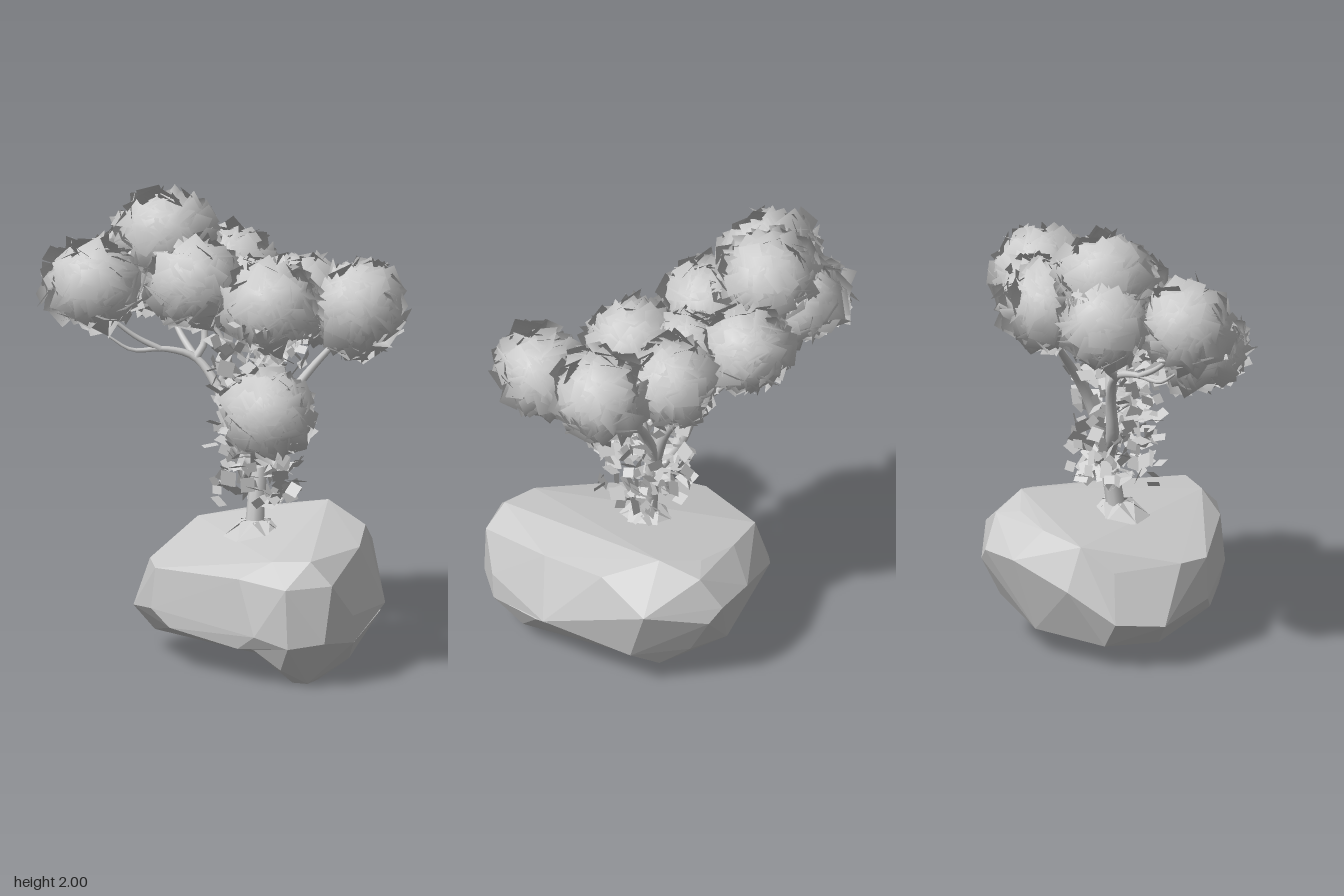
import * as THREE from 'three';
import { mergeGeometries } from 'three/addons/utils/BufferGeometryUtils.js';
import { ConvexGeometry } from 'three/addons/geometries/ConvexGeometry.js';

const V = (x, y, z) => new THREE.Vector3(x, y, z);
const smooth = new THREE.MeshStandardMaterial({ color: 0xcccccc });
const faceted = new THREE.MeshStandardMaterial({ color: 0xcccccc, flatShading: true });
const leafy = new THREE.MeshStandardMaterial({ color: 0xcccccc, side: THREE.DoubleSide });

// Small seeded generator
let seed = 7;
function rand(a = 0, b = 1) {
  seed = (seed * 1664525 + 1013904223) % 4294967296;
  return a + (b - a) * (seed / 4294967296);
}

function add(parent, name, geometry, material) {
  const mesh = new THREE.Mesh(geometry, material);
  mesh.name = name;
  parent.add(mesh);
  return mesh;
}

// Square leaf card at p, facing dir with a random lean and spin
function leafCard(p, dir, size, lean) {
  const g = new THREE.PlaneGeometry(size, size * rand(0.75, 1.05));
  g.rotateZ(rand(0, Math.PI * 2));
  g.rotateX(rand(-lean, lean));
  g.rotateY(rand(-lean, lean));
  g.applyQuaternion(new THREE.Quaternion().setFromUnitVectors(V(0, 0, 1), dir));
  return g.translate(p.x, p.y, p.z);
}

// Leaf ball: cards spread evenly over an ellipsoid, normals rounded outward
function leafBall(rx, ry, rz) {
  const radii = V(rx, ry, rz);
  const parts = [new THREE.SphereGeometry(0.77, 20, 14).scale(rx, ry, rz)];
  const count = 210;
  for (let i = 0; i < count; i++) {
    const y = 1 - (2 * i + 1) / count, a = i * 2.39996, s = Math.sqrt(1 - y * y);
    const dir = V(s * Math.cos(a), y, s * Math.sin(a));
    const p = dir.clone().multiply(radii).multiplyScalar(rand(0.78, 0.98));
    parts.push(leafCard(p, dir, rand(0.085, 0.125), 0.85));
  }
  const g = mergeGeometries(parts);
  const pos = g.attributes.position, n = V(0, 0, 0);
  for (let i = 0; i < pos.count; i++) {
    n.fromBufferAttribute(pos, i).normalize();
    g.attributes.normal.setXYZ(i, n.x, n.y, n.z);
  }
  return g;
}

// Tapered limb through points
function limb(points, r0, r1) {
  const curve = new THREE.CatmullRomCurve3(points.map(p => V(...p)));
  const rings = points.length * 4, sides = 9;
  const g = new THREE.TubeGeometry(curve, rings, r0, sides);
  const pos = g.attributes.position, v = V(0, 0, 0);
  for (let i = 0; i < pos.count; i++) {
    const t = Math.floor(i / (sides + 1)) / rings;
    const c = curve.getPointAt(t);
    v.fromBufferAttribute(pos, i).sub(c).multiplyScalar(1 + (r1 / r0 - 1) * t).add(c);
    pos.setXYZ(i, v.x, v.y, v.z);
  }
  return g;
}

const hull = points => new ConvexGeometry(points.map(p => V(...p)));

export function createModel() {
  const model = new THREE.Group();
  model.name = 'treeOnRock';

  // Boulder: hull of its corners
  add(model, 'boulder', hull([
    // top
    [-0.19, 0.54, -0.33], [-0.24, 0.44, 0.11], [-0.16, 0.43, 0.25], [0.31, 0.46, 0.46],
    [0.45, 0.54, 0.42], [0.62, 0.55, 0.4], [0.69, 0.54, 0.0], [0.6, 0.57, -0.3],
    [0.38, 0.64, -0.42], [0.2, 0.6, -0.48], [0.27, 0.58, -0.57], [0.0, 0.57, -0.44],
    // middle
    [0.2, 0.44, -0.64], [0.27, 0.38, -0.635], [0.54, 0.46, -0.53], [0.02, 0.44, -0.57],
    [-0.26, 0.43, -0.2], [-0.22, 0.35, -0.4], [-0.34, 0.22, -0.22], [-0.36, 0.2, 0.0],
    [-0.18, 0.25, 0.25], [0.72, 0.45, 0.4], [0.77, 0.28, -0.1], [0.77, 0.18, 0.27],
    [0.77, 0.3, 0.28], [0.55, 0.44, 0.52], [0.4, 0.22, 0.51], [0.56, 0.18, 0.52], [0.7, 0.2, 0.44],
    // underside
    [-0.08, 0.18, 0.29], [0.3, 0.15, 0.45], [-0.26, 0.1, 0.0], [-0.25, 0.1, -0.24],
    [0.05, 0.11, -0.46], [0.4, 0.11, -0.45], [0.3, 0.2, -0.54], [0.54, 0.2, -0.43], [0.36, 0.1, 0.3],
  ]), faceted);

  // Low ridge the boulder rests on
  add(model, 'boulderFoot', hull([
    [0.52, 0, 0.25], [0.6, 0, 0.26], [0.52, 0, 0.36], [0.59, 0, 0.36], [0.7, 0.08, 0.15],
    [0.36, 0.1, 0.3], [0.36, 0.16, 0.45], [0.56, 0.18, 0.52], [0.5, 0.07, 0.45], [0.7, 0.2, 0.44],
    [0.77, 0.18, 0.27], [0.77, 0.26, -0.05], [0.4, 0.11, -0.44], [0.3, 0.11, -0.2], [0.4, 0.3, 0.1],
  ]), faceted);

  // Trunk and branches: [points, start radius, end radius]
  const fork = [0.19, 0.93, -0.12];
  const limbs = [
    ['trunk', [[0.18, 0.48, -0.04], [0.185, 0.7, -0.07], fork], 0.044, 0.034],
    ['leftBranch', [[0.17, 0.84, -0.09], [0.05, 0.96, -0.11], [-0.02, 1.15, -0.14], [-0.13, 1.28, -0.15], [-0.25, 1.32, -0.1], [-0.38, 1.32, -0.03], [-0.47, 1.38, 0.01]], 0.034, 0.005],
    ['leftBallTwig', [[-0.27, 1.32, -0.09], [-0.37, 1.38, -0.04], [-0.5, 1.5, 0.03]], 0.014, 0.007],
    ['leftBackTwig', [[-0.13, 1.28, -0.15], [-0.23, 1.36, -0.23], [-0.3, 1.45, -0.28], [-0.38, 1.58, -0.3]], 0.018, 0.008],
    ['leftInnerTwig', [[-0.13, 1.28, -0.15], [-0.1, 1.35, -0.18], [-0.13, 1.46, -0.2], [-0.3, 1.7, -0.25]], 0.018, 0.008],
    ['middleTwig', [[-0.01, 1.17, -0.14], [0.03, 1.3, -0.13], [-0.02, 1.42, -0.12], [-0.08, 1.55, -0.1]], 0.02, 0.008],
    ['backBranch', [fork, [0.18, 1.1, -0.18], [0.13, 1.25, -0.27], [0.02, 1.38, -0.36], [-0.08, 1.53, -0.44]], 0.03, 0.009],
    ['backRightTwig', [[0.13, 1.25, -0.27], [0.19, 1.36, -0.32], [0.25, 1.48, -0.36]], 0.019, 0.009],
    ['rightBranch', [fork, [0.27, 1.1, -0.17], [0.36, 1.24, -0.24], [0.46, 1.36, -0.28], [0.57, 1.47, -0.29]], 0.028, 0.009],
    ['rightTwig', [[0.27, 1.1, -0.17], [0.28, 1.28, -0.13], [0.24, 1.48, -0.08]], 0.018, 0.008],
    ['frontBranch', [[0.19, 0.98, -0.13], [0.24, 1.05, 0.0], [0.32, 1.11, 0.16], [0.4, 1.15, 0.34]], 0.022, 0.009],
  ];
  for (const [name, points, r0, r1] of limbs) add(model, name, limb(points, r0, r1), smooth);

  // Leaf balls: centre, then radii along x, y and z; the last one fills the middle
  const balls = [
    [-0.31, 1.79, -0.26, 0.225, 0.18, 0.21], [-0.53, 1.61, 0.04, 0.225, 0.175, 0.185],
    [-0.44, 1.63, -0.3, 0.23, 0.18, 0.185], [-0.11, 1.62, -0.09, 0.19, 0.185, 0.185],
    [-0.07, 1.61, -0.44, 0.19, 0.18, 0.165], [0.27, 1.53, -0.37, 0.185, 0.18, 0.17],
    [0.26, 1.55, -0.06, 0.215, 0.18, 0.19], [0.585, 1.535, -0.27, 0.18, 0.205, 0.205],
    [0.43, 1.18, 0.4, 0.17, 0.175, 0.22], [0.09, 1.57, -0.24, 0.14, 0.14, 0.14],
  ];
  const foliage = new THREE.Group();
  foliage.name = 'foliage';
  model.add(foliage);
  for (const [x, y, z, ...radii] of balls) {
    add(foliage, 'leafBall', leafBall(...radii), leafy).position.set(x, y, z);
  }

  // Ivy: loose leaves around the trunk
  const ivy = [];
  for (let i = 0; i < 420; i++) {
    const a = i * 2.39996, r = rand(0.04, 0.21), y = rand(0.7, 1.52);
    const dir = V(Math.cos(a), rand(-0.2, 0.8), Math.sin(a)).normalize();
    ivy.push(leafCard(V(0.2 + r * Math.cos(a), y, -0.05 + r * Math.sin(a)), dir, rand(0.04, 0.075), 1.5));
  }
  add(model, 'ivy', mergeGeometries(ivy), leafy);

  // Broad leaves flaring from the trunk's foot
  const foot = [];
  for (let i = 0; i < 6; i++) {
    const g = new THREE.PlaneGeometry(0.13, 0.12);
    g.rotateX(-0.9).translate(0, 0.575, 0.075).rotateY(i * Math.PI / 3 + 0.3);
    foot.push(g.translate(0.19, 0, -0.04));
  }
  add(model, 'footLeaves', mergeGeometries(foot), leafy);

  return model;
}
